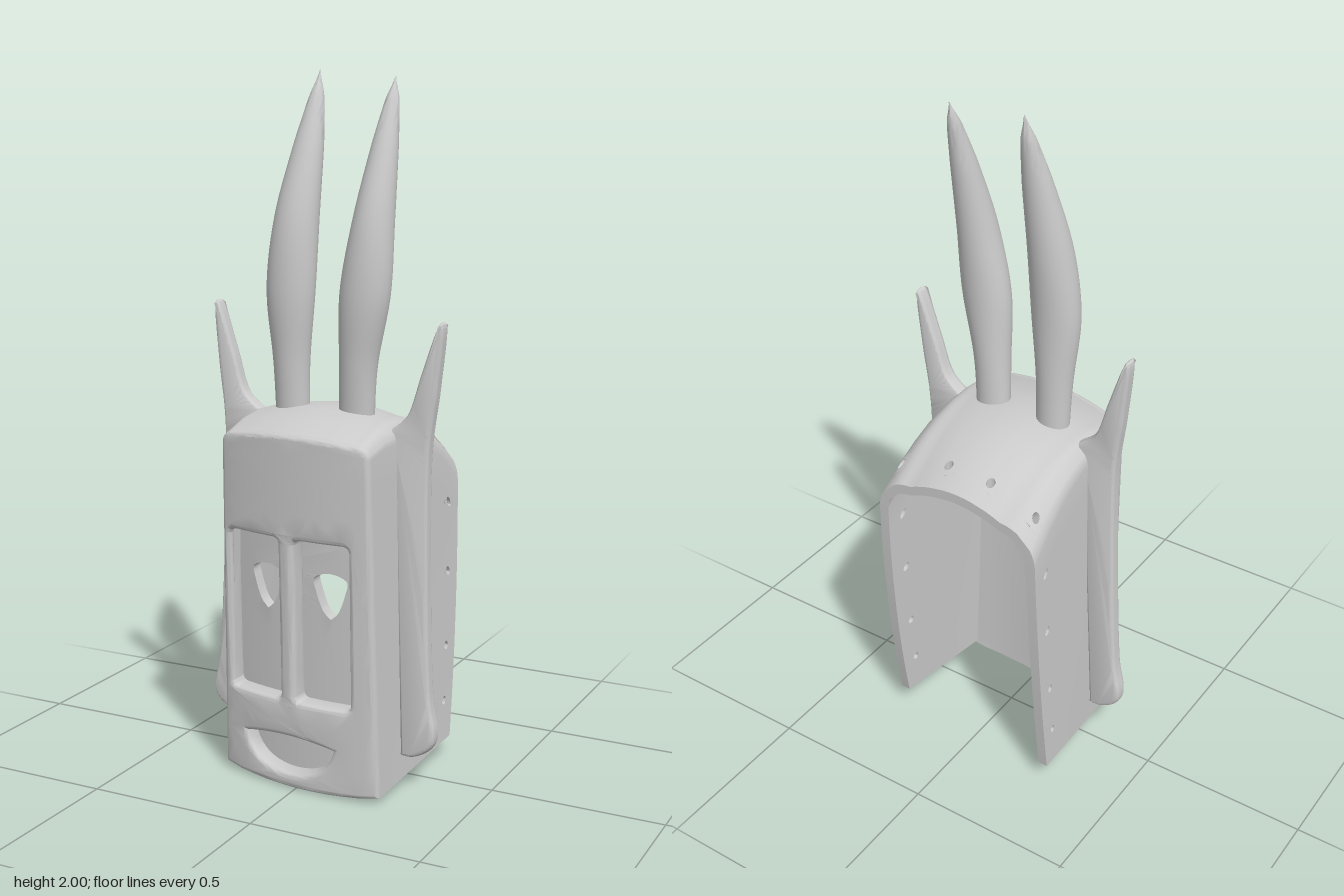
import * as THREE from 'three';
import { toCreasedNormals } from 'three/addons/utils/BufferGeometryUtils.js';

const lerp = THREE.MathUtils.lerp;
const material = new THREE.MeshStandardMaterial({ color: 0xcccccc, side: THREE.DoubleSide });
const V2 = (x, y) => new THREE.Vector2(x, y);

function part(name, geometry, crease = 0.7) {
  const mesh = new THREE.Mesh(toCreasedNormals(geometry, crease), material);
  mesh.name = name;
  return mesh;
}

function fromTriangles(points) {
  return new THREE.BufferGeometry().setFromPoints(points);
}

// Bowed, slightly tilted face surface
const faceZ = (x, y) => 0.283 - 0.49 * (x - 0.1) ** 2 - 0.03 * (1 - y);

// Point on the shell: u runs up one side, over the top and down the other (0..6),
// v runs from front to back, inset moves it inwards
function shellPoint(u, v, inset = 0) {
  const side = u < 3 ? -1 : 1, h = Math.min(u, 6 - u);
  const r = Math.max(lerp(0.035, 0.11, v) - inset, 0.012);
  const top = 1.015 + 0.227 * v - 0.307 * v * v - inset;
  const width = y => lerp(0.24, 0.26, v) + lerp(0.018, 0.028, v) * (1 - y) - inset;
  let x, y;
  if (h < 1) {
    y = lerp(lerp(0.02, 0.06, v), top - r, h);
    x = width(y);
  } else if (h < 2) {
    const a = (h - 1) * Math.PI / 2;
    y = top - r + r * Math.sin(a);
    x = width(y) - r + r * Math.cos(a);
  } else {
    x = (width(top) - r) * (3 - h);
    y = top + lerp(0.015, 0.035, v) * (1 - (3 - h) ** 2);
  }
  x *= side;
  const slant = lerp(0.05, 0.1, THREE.MathUtils.clamp((x + 0.27) / 0.54, 0, 1));
  const back = -0.283 + slant * Math.max(0, 1 - y / 0.95) ** 2;
  return new THREE.Vector3(x, y, lerp(faceZ(x, y) - 0.02, back, v));
}

// Thick shell with a row of lacing holes near its back rim
function shellGeometry() {
  const thick = 0.03, tris = [];
  const quad = (a, b, c, d) => tris.push(a, b, c, a, c, d);
  const P = (q, inset) => shellPoint(q[0], q[1], inset);
  const skin = (a, b, c, d) => {
    quad(P(a, 0), P(b, 0), P(c, 0), P(d, 0));
    quad(P(d, thick), P(c, thick), P(b, thick), P(a, thick));
  };
  const rim = (a, b) => quad(P(a, 0), P(b, 0), P(b, thick), P(a, thick));

  const holes = [0.15, 0.35, 0.62, 0.87, 1.5, 2.5, 3.4, 4.5, 5.13, 5.38, 5.65, 5.85]
    .map(u => ({ u, d: u < 1 || u > 5 ? 0.03 : 0.16 }));
  let us = [];
  for (let i = 0; i <= 48; i++) us.push(i / 8);
  us = us.filter(u => !holes.some(h => Math.abs(u - h.u) <= h.d + 0.005));
  holes.forEach(h => us.push(h.u - h.d, h.u + h.d));
  us.sort((a, b) => a - b);
  const vs = [0, 0.15, 0.3, 0.45, 0.6, 0.72, 0.83, 0.93, 1];

  for (let i = 0; i < us.length - 1; i++) {
    const a = us[i], b = us[i + 1];
    const hole = holes.find(h => Math.abs((a + b) / 2 - h.u) < 0.001);
    for (let j = 0; j < vs.length - 1; j++) {
      const c = vs[j], d = vs[j + 1];
      if (!hole || c !== 0.83) {
        skin([a, c], [b, c], [b, d], [a, d]);
        continue;
      }
      // Square cell with a round hole through it
      const ring = (k, round) => {
        const t = k * Math.PI / 8, x = Math.cos(t), y = Math.sin(t);
        const s = round ? 0.5 : 1 / Math.max(Math.abs(x), Math.abs(y));
        return [(a + b) / 2 + x * s * (b - a) / 2, (c + d) / 2 + y * s * (d - c) / 2];
      };
      for (let k = 0; k < 16; k++) {
        skin(ring(k), ring(k + 1), ring(k + 1, true), ring(k, true));
        rim(ring(k, true), ring(k + 1, true));
      }
    }
    rim([a, 1], [b, 1]);
    rim([b, 0], [a, 0]);
  }
  for (let j = 0; j < vs.length - 1; j++) {
    rim([0, vs[j]], [0, vs[j + 1]]);
    rim([6, vs[j + 1]], [6, vs[j]]);
  }
  return fromTriangles(tris);
}

// Split long triangles, then bow the flat plate to the face surface
function bowPlate(geometry) {
  const p = geometry.getAttribute('position'), out = [];
  const split = (a, b, c) => {
    const ab = a.distanceTo(b), bc = b.distanceTo(c), ca = c.distanceTo(a);
    const longest = Math.max(ab, bc, ca);
    if (longest < 0.07) {
      out.push(a, b, c);
    } else if (ab < longest) {
      split(b, c, a);
    } else {
      const mid = a.clone().add(b).multiplyScalar(0.5);
      split(a, mid, c);
      split(mid, b, c);
    }
  };
  const at = i => new THREE.Vector3().fromBufferAttribute(p, i);
  for (let i = 0; i < p.count; i += 3) split(at(i), at(i + 1), at(i + 2));
  return fromTriangles(out.map(v => new THREE.Vector3(v.x, v.y, v.z + faceZ(v.x, v.y))));
}

// Plate following the front outline of the shell, from z0 to z1 behind the face
function facePlate(inset, holes, z0, z1, bevel) {
  const outline = [];
  for (let u = 0; u <= 6; u += 0.125) {
    const q = shellPoint(u, 0, inset);
    outline.push(V2(q.x, q.y));
  }
  for (let x = 0.2; x > -0.21; x -= 0.1) outline.push(V2(x, 0.003 + 0.2 * x * x));
  const shape = new THREE.Shape(outline);
  shape.holes.push(...holes);
  const geometry = new THREE.ExtrudeGeometry(shape, {
    depth: z1 - z0 - 2 * bevel, bevelEnabled: bevel > 0, bevelThickness: bevel,
    bevelSize: bevel, bevelOffset: -bevel, bevelSegments: 3, curveSegments: 10,
  });
  return bowPlate(geometry.translate(0, 0, z0 + bevel));
}

function socketHole(x0, x1, y0, y1, r = 0.02) {
  const path = new THREE.Path();
  path.moveTo(x0 + r, y0).lineTo(x1 - r, y0).quadraticCurveTo(x1, y0, x1, y0 + r);
  path.lineTo(x1, y1 - r).quadraticCurveTo(x1, y1, x1 - r, y1);
  path.lineTo(x0 + r, y1).quadraticCurveTo(x0, y1, x0, y1 - r);
  path.lineTo(x0, y0 + r).quadraticCurveTo(x0, y0, x0 + r, y0);
  return path;
}

function eyeHole(x) {
  const curve = new THREE.SplineCurve([
    [0, 0.505], [0.025, 0.53], [0.046, 0.585], [0.05, 0.622], [0, 0.638],
    [-0.05, 0.622], [-0.046, 0.585], [-0.025, 0.53], [0, 0.505],
  ].map(([a, b]) => V2(a + x, b)));
  return new THREE.Path(curve.getPoints(32).slice(0, -1));
}

function mouthHole() {
  const path = new THREE.Path();
  path.moveTo(-0.17, 0.14).quadraticCurveTo(-0.15, 0.045, -0.02, 0.045);
  path.quadraticCurveTo(0.1, 0.05, 0.125, 0.14);
  path.quadraticCurveTo(-0.02, 0.175, -0.17, 0.14);
  return path;
}

// Side fin that sweeps up into a pointed ear
function earGeometry() {
  const shape = new THREE.Shape();
  shape.moveTo(0.26, 0.1);
  shape.splineThru([[0.3, 0.1], [0.35, 0.13], [0.365, 0.18], [0.348, 0.3], [0.338, 0.6],
    [0.337, 0.95], [0.36, 1.15], [0.376, 1.3], [0.37, 1.335], [0.352, 1.31],
    [0.31, 1.19], [0.272, 1.08], [0.215, 1.03]].map(([x, y]) => V2(x, y)));
  shape.lineTo(0.235, 0.95);
  const geometry = new THREE.ExtrudeGeometry(shape, {
    depth: 0.004, bevelThickness: 0.022, bevelSize: 0.012, bevelOffset: -0.012,
    bevelSegments: 5, curveSegments: 50,
  });
  return geometry.translate(0, 0, -0.002);
}

// Horn lofted through round sections given as [x, y, z, rx, rz]
function hornGeometry(stations) {
  const centre = new THREE.CatmullRomCurve3(stations.map(s => new THREE.Vector3(s[0], s[1], s[2])));
  const radius = new THREE.SplineCurve(stations.map(s => V2(s[3], s[4])));
  const rows = 40, sides = 24, tris = [];
  const at = (i, k) => {
    const c = centre.getPoint(i / rows), r = radius.getPoint(i / rows);
    const a = (k % sides) / sides * Math.PI * 2;
    return new THREE.Vector3(c.x + r.x * Math.cos(a), c.y, c.z - r.y * Math.sin(a));
  };
  for (let i = 0; i < rows; i++) for (let k = 0; k < sides; k++) {
    const a = at(i, k), b = at(i, k + 1), c = at(i + 1, k + 1), d = at(i + 1, k);
    tris.push(a, b, c, a, c, d);
  }
  return fromTriangles(tris);
}

export function createModel() {
  const model = new THREE.Group();
  model.name = 'mask';
  model.add(part('shell', shellGeometry()));

  // Face: pierced front layer over a backing layer that closes the recesses
  const sockets = [socketHole(-0.218, -0.043, 0.265, 0.735), socketHole(0.007, 0.178, 0.265, 0.735)];
  model.add(part('face', facePlate(0, [...sockets, mouthHole()], -0.07, 0, 0.014)));
  model.add(part('faceBacking', facePlate(0.02, [eyeHole(-0.115), eyeHole(0.095)], -0.1, -0.06, 0)));

  // Ears
  const leftEar = part('leftEar', earGeometry(), 1);
  leftEar.position.z = 0.085;
  const rightEar = part('rightEar', earGeometry().rotateY(Math.PI), 1);
  rightEar.position.set(-0.018, 0.012, 0.035);
  rightEar.rotation.z = -0.025;
  model.add(leftEar, rightEar);

  // Tall horns
  model.add(part('rightHorn', hornGeometry([
    [-0.103, 1.04, 0.055, 0.05, 0.042], [-0.104, 1.2, 0.06, 0.054, 0.048],
    [-0.102, 1.4, 0.066, 0.072, 0.058], [-0.09, 1.6, 0.052, 0.064, 0.06],
    [-0.071, 1.8, 0.016, 0.043, 0.04], [-0.062, 1.93, -0.015, 0.021, 0.02],
    [-0.06, 2.0, -0.033, 0.001, 0.001]]), 1.2));
  model.add(part('leftHorn', hornGeometry([
    [0.098, 1.04, 0.055, 0.052, 0.042], [0.108, 1.2, 0.065, 0.055, 0.05],
    [0.131, 1.4, 0.073, 0.073, 0.06], [0.15, 1.6, 0.06, 0.058, 0.058],
    [0.164, 1.8, 0.02, 0.037, 0.038], [0.17, 1.92, -0.012, 0.019, 0.019],
    [0.171, 1.98, -0.03, 0.001, 0.001]]), 1.2));
  return model;
}
